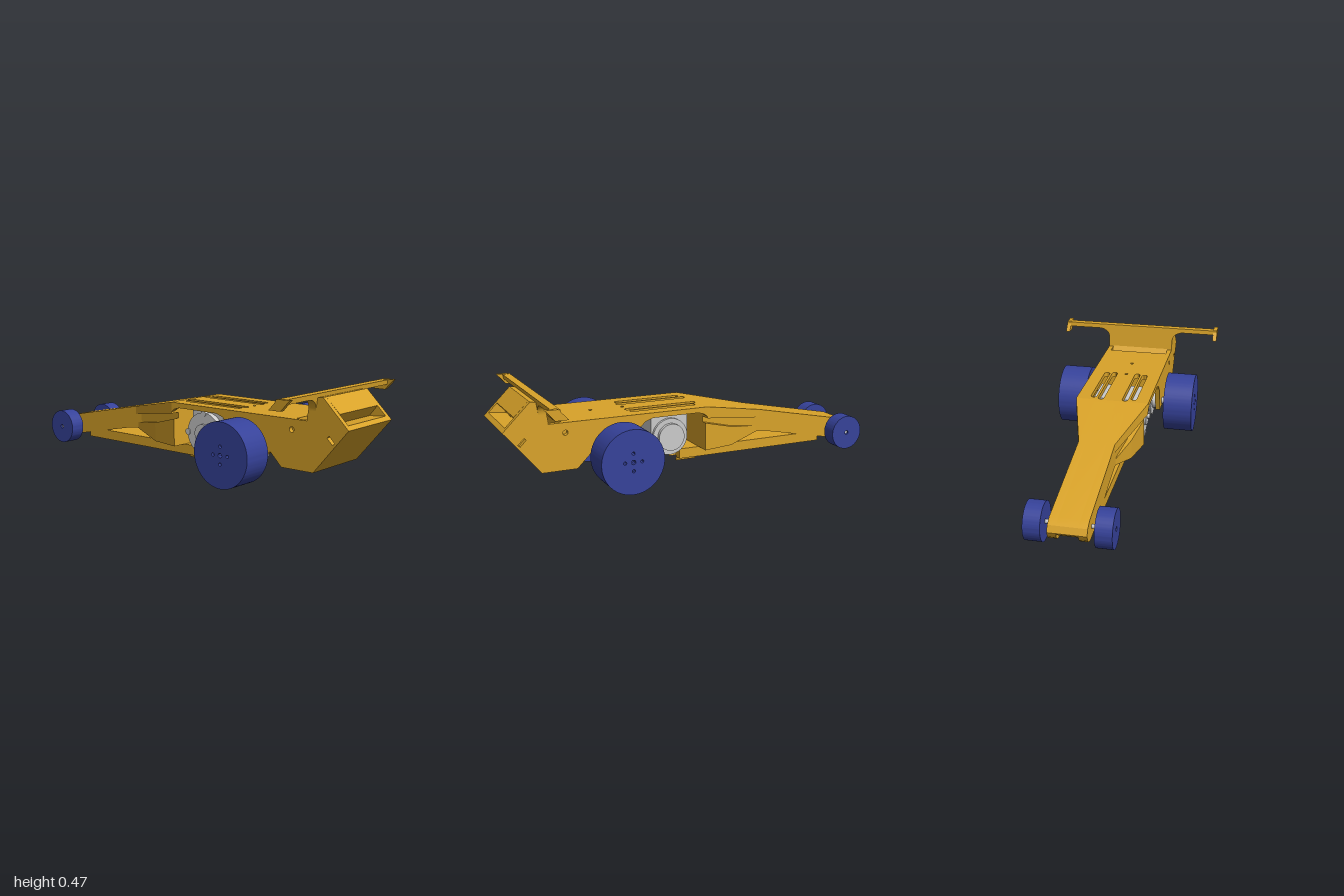
import * as THREE from 'three';
import { toCreasedNormals } from 'three/addons/utils/BufferGeometryUtils.js';

const gold = new THREE.MeshStandardMaterial({ color: 0xd9a329 });
const blue = new THREE.MeshStandardMaterial({ color: 0x36429a });
const grey = new THREE.MeshStandardMaterial({ color: 0xcccccc });

const outline = (pts) => new THREE.Shape(pts.map(([x, y]) => new THREE.Vector2(x, y)));

function roundHole(shape, x, y, r) {
  shape.holes.push(new THREE.Path().absarc(x, y, r, 0, Math.PI * 2, true));
}

// Lengthwise slot with rounded ends
function slotHole(shape, x0, x1, y, r) {
  const p = new THREE.Path();
  p.absarc(x0 + r, y, r, Math.PI * 1.5, Math.PI / 2, true);
  p.absarc(x1 - r, y, r, Math.PI / 2, -Math.PI / 2, true);
  p.closePath();
  shape.holes.push(p);
}

// Side profile extruded from z0 to z1
function slab(shape, z0, z1, curveSegments = 16) {
  const g = new THREE.ExtrudeGeometry(shape, { depth: z1 - z0, bevelEnabled: false, curveSegments });
  g.translate(0, 0, z0);
  return toCreasedNormals(g, 0.5);
}

// Cross-section drawn in (z, y), extruded along x from x0 to x1
function bar(shape, x0, x1) {
  const g = new THREE.ExtrudeGeometry(shape, { depth: x1 - x0, bevelEnabled: false, curveSegments: 24 });
  g.rotateY(Math.PI / 2).translate(x0, 0, 0);
  return toCreasedNormals(g, 0.5);
}

// Block between two end sections, each { x, y0, y1, w } with w the half width
function taper(a, b) {
  const g = new THREE.BoxGeometry(2, 2, 2);
  const p = g.attributes.position;
  for (let i = 0; i < p.count; i++) {
    const s = p.getX(i) < 0 ? a : b;
    p.setXYZ(i, s.x, p.getY(i) < 0 ? s.y0 : s.y1, p.getZ(i) * s.w);
  }
  const flat = g.toNonIndexed();
  flat.computeVertexNormals();
  return flat;
}

// Cylinder lying along z
function rod(r, x, y, z0, z1, sides = 40) {
  const g = new THREE.CylinderGeometry(r, r, z1 - z0, sides);
  return g.rotateX(Math.PI / 2).translate(x, y, (z0 + z1) / 2);
}

export function createModel() {
  const model = new THREE.Group();
  const add = (name, geometry, material = gold) => {
    const mesh = new THREE.Mesh(geometry, material);
    mesh.name = name;
    model.add(mesh);
    return mesh;
  };

  // Nose and spine: solid cheeks with a raised floor in the middle
  const nose = [[-1, 0.11], [-0.987, 0.082], [-0.965, 0.063], [-0.93, 0.055], [-0.86, 0.062],
    [-0.79, 0.077], [-0.46, 0.143], [-0.4, 0.15], [-0.33, 0.142], [-0.22, 0.105], [-0.05, 0.105],
    [-0.05, 0.34], [-0.95, 0.16], [-0.985, 0.14]];
  add('noseCore', slab(outline(nose.map(([x, y]) => [x, Math.max(y, 0.095)])), -0.05, 0.05));
  add('noseLeft', slab(outline(nose), 0.05, 0.09));
  add('noseRight', slab(outline(nose), -0.09, -0.05));

  // Widening shoulder plate and the stepped fairings below it
  add('shoulder', taper({ x: -0.41, y0: 0.225, y1: 0.268, w: 0.09 }, { x: -0.05, y0: 0.28, y1: 0.34, w: 0.19 }));
  add('upperFairing', taper({ x: -0.38, y0: 0.16, y1: 0.24, w: 0.088 }, { x: -0.05, y0: 0.15, y1: 0.29, w: 0.135 }));
  add('lowerFairing', taper({ x: -0.4, y0: 0.15, y1: 0.18, w: 0.088 }, { x: -0.22, y0: 0.105, y1: 0.205, w: 0.135 }));
  add('rearFairing', taper({ x: -0.22, y0: 0.105, y1: 0.205, w: 0.135 }, { x: -0.05, y0: 0.105, y1: 0.25, w: 0.17 }));

  // Flat deck with vents and bolt holes
  const deck = outline([[-0.05, -0.19], [0.71, -0.19], [0.71, 0.19], [-0.05, 0.19]]);
  for (const s of [1, -1]) {
    slotHole(deck, -0.04, 0.35, s * 0.064, 0.015);
    slotHole(deck, -0.02, 0.34, s * 0.106, 0.015);
  }
  for (const x of [0.34, 0.51]) roundHole(deck, x, 0, 0.009);
  const deckGeometry = slab(deck, 0, 0.025);
  deckGeometry.rotateX(-Math.PI / 2).translate(0, 0.315, 0);
  add('deck', deckGeometry);

  // Keel with an arched tunnel, and a thin pipe guide at its rear end
  const keel = outline([[-0.09, 0.053], [-0.048, 0.053]]);
  keel.absarc(0, 0.05, 0.045, Math.PI, 0, true);
  keel.lineTo(0.09, 0.053);
  keel.lineTo(0.09, 0.105);
  keel.lineTo(-0.09, 0.105);
  add('keel', bar(keel, -0.79, 0.06));
  const guide = new THREE.Shape();
  guide.absarc(0, 0.05, 0.049, -0.4, Math.PI + 0.4, false);
  guide.absarc(0, 0.05, 0.044, Math.PI + 0.4, -0.4, true);
  add('pipeGuide', bar(guide, -0.05, 0.06));

  // Side walls around the rear axle, running into the tail
  const wall = outline([[-0.05, 0.34], [-0.05, 0.29], [-0.03, 0.305], [0, 0.314], [0.25, 0.314], [0.29, 0.3],
    [0.32, 0.27], [0.36, 0.13], [0.53, 0.13], [0.58, 0.17], [0.645, 0.105], [0.82, 0.105], [1, 0.32],
    [0.865, 0.455], [0.8, 0.445], [0.783, 0.34]]);
  roundHole(wall, 0.7, 0.29, 0.013);
  wall.holes.push(new THREE.Path([[0.89, 0.275], [0.9, 0.285], [0.93, 0.255], [0.92, 0.245]]
    .map(([x, y]) => new THREE.Vector2(x, y))));
  add('wallLeft', slab(wall, 0.165, 0.19));
  add('wallRight', slab(wall, -0.19, -0.165));

  // Tail pod with a recess across its upper rear face
  add('tailPod', slab(outline([[0.645, 0.105], [0.82, 0.105], [1, 0.32], [0.982, 0.338], [0.895, 0.33],
    [0.938, 0.384], [0.865, 0.455], [0.8, 0.445], [0.783, 0.345], [0.705, 0.25], [0.705, 0.325],
    [0.645, 0.325]]), -0.165, 0.165));

  // Rear wing: T-shaped panel with filleted corners, leaning back
  const wing = new THREE.Shape();
  wing.moveTo(-0.19, 0.345);
  wing.lineTo(0.19, 0.345);
  wing.lineTo(0.19, 0.39);
  wing.quadraticCurveTo(0.192, 0.44, 0.25, 0.446);
  wing.lineTo(0.455, 0.446);
  wing.lineTo(0.455, 0.47);
  wing.lineTo(-0.455, 0.47);
  wing.lineTo(-0.455, 0.446);
  wing.lineTo(-0.25, 0.446);
  wing.quadraticCurveTo(-0.192, 0.44, -0.19, 0.39);
  const wingGeometry = bar(wing, 0.8, 0.84);
  const wp = wingGeometry.attributes.position;
  for (let i = 0; i < wp.count; i++) wp.setX(i, wp.getX(i) + (wp.getY(i) - 0.47) * 0.15);
  wingGeometry.computeVertexNormals();
  add('wing', wingGeometry);
  const endPlate = [[0.762, 0.42], [0.825, 0.42], [0.872, 0.472], [0.81, 0.472]];
  add('endPlateLeft', slab(outline(endPlate), 0.432, 0.455));
  add('endPlateRight', slab(outline(endPlate), -0.455, -0.432));

  // Wheels and axles
  const wheel = (name, x, y, r, z0, z1, bolts) => {
    const disc = new THREE.Shape().absarc(0, 0, r, 0, Math.PI * 2);
    roundHole(disc, 0, 0, 0.011);
    for (let i = 0; i < bolts; i++) {
      const a = (i * Math.PI) / 2;
      roundHole(disc, 0.043 * Math.cos(a), 0.043 * Math.sin(a), 0.008);
    }
    add(name, slab(disc, z0, z1, 64).translate(x, y, 0), blue);
  };
  wheel('frontWheelLeft', -0.908, 0.11, 0.092, 0.12, 0.2, 0);
  wheel('frontWheelRight', -0.908, 0.11, 0.092, -0.2, -0.12, 0);
  wheel('rearWheelLeft', 0.43, 0.16, 0.16, 0.22, 0.377, 4);
  wheel('rearWheelRight', 0.43, 0.16, 0.16, -0.377, -0.22, 4);
  add('frontAxle', rod(0.01, -0.908, 0.11, -0.19, 0.19, 20), grey);
  add('rearAxle', rod(0.018, 0.43, 0.16, -0.23, 0.23, 24), grey);
  add('axleGear', rod(0.085, 0.43, 0.16, 0.1, 0.14), grey);
  add('gearHub', rod(0.045, 0.43, 0.16, 0.07, 0.16), grey);

  // Motor with end flange, lugs, shaft boss and mounting block
  add('motor', rod(0.095, 0.13, 0.19, -0.13, 0.12), grey);
  add('motorFlange', rod(0.108, 0.13, 0.19, 0.1, 0.145), grey);
  add('motorBoss', rod(0.05, 0.13, 0.19, 0.14, 0.158), grey);
  add('motorShaft', rod(0.014, 0.13, 0.19, 0.15, 0.172, 20), grey);
  add('motorEndCap', rod(0.07, 0.13, 0.19, -0.15, -0.12), grey);
  for (let i = 0; i < 4; i++) {
    const a = (i * Math.PI) / 2;
    add('motorLug', rod(0.016, 0.13 + 0.104 * Math.cos(a), 0.19 + 0.104 * Math.sin(a), 0.1, 0.15, 16), grey);
  }
  const block = new THREE.BoxGeometry(0.2, 0.11, 0.23).translate(0.13, 0.26, 0);
  add('motorMount', block, grey);

  return model;
}
